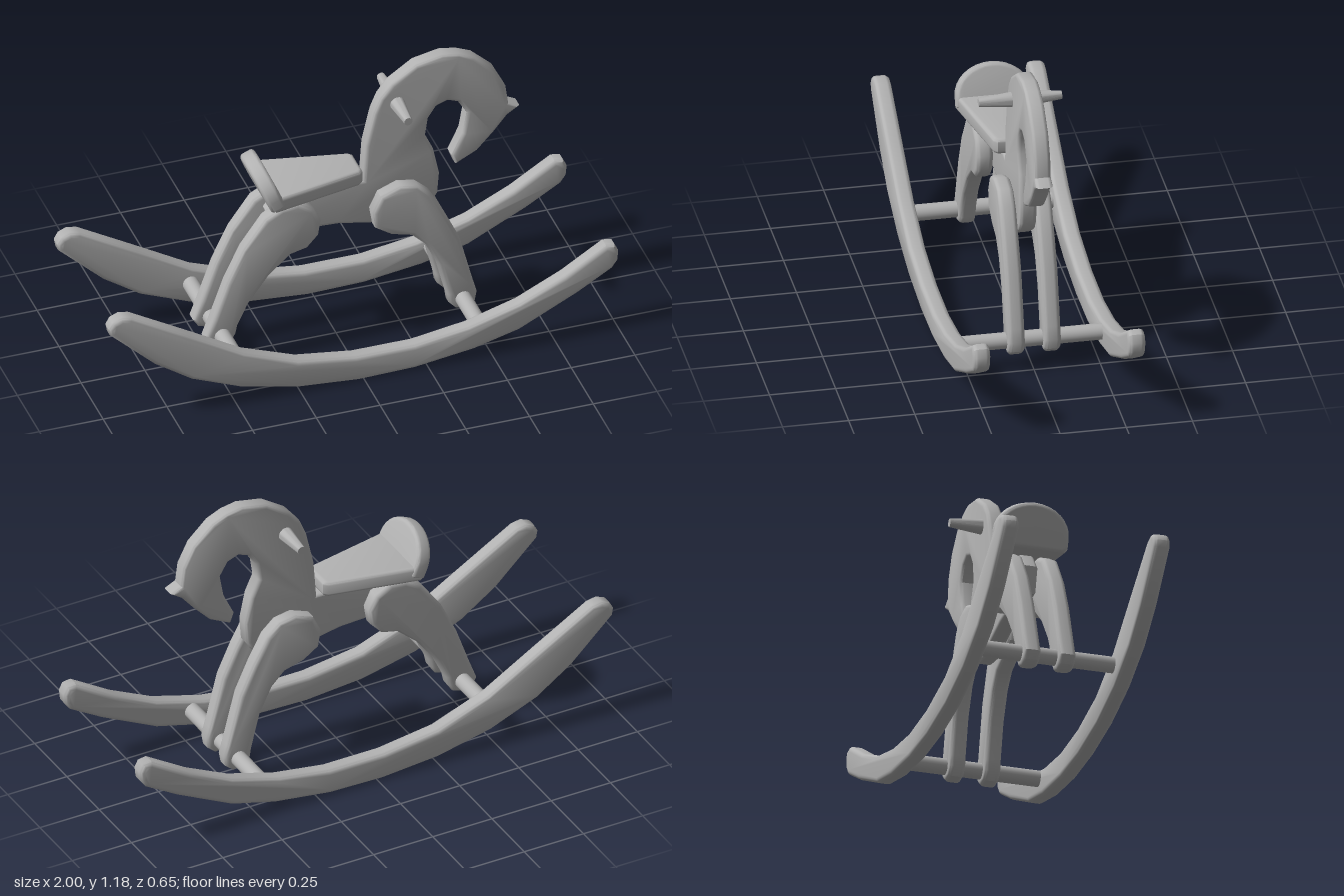
import * as THREE from 'three';
import { toCreasedNormals } from 'three/addons/utils/BufferGeometryUtils.js';

const paint = new THREE.MeshStandardMaterial({ color: 0xb2b2b2 });
paint.name = 'plain grey';

// Flat board with rounded edges, centred on its thickness
function board(points, thickness, bevel = 0.018) {
  const shape = new THREE.Shape(points.map(([x, y]) => new THREE.Vector2(x, y)));
  const geo = new THREE.ExtrudeGeometry(shape, {
    depth: thickness - 2 * bevel, bevelEnabled: true, bevelThickness: bevel,
    bevelSize: bevel, bevelOffset: -bevel, bevelSegments: 4,
  });
  geo.translate(0, 0, -thickness / 2 + bevel);
  return toCreasedNormals(geo, 0.7);
}

const ROCKER = [
  [-0.995, 0.417], [-0.82, 0.25], [-0.675, 0.15], [-0.48, 0.07], [-0.257, 0.02], [-0.02, 0], [0.2, 0.005],
  [0.43, 0.037], [0.61, 0.085], [0.84, 0.2], [0.975, 0.28], [0.996, 0.31], [1, 0.35], [0.985, 0.38], [0.95, 0.385],
  [0.786, 0.283], [0.61, 0.198], [0.41, 0.139], [0.2, 0.107], [-0.03, 0.107], [-0.257, 0.139],
  [-0.47, 0.22], [-0.685, 0.348], [-0.91, 0.48], [-0.95, 0.487], [-0.985, 0.472], [-1, 0.445],
];

const BODY = [
  [-0.25, 0.52], [-0.107, 0.513], [0, 0.508], [0.144, 0.48], [0.22, 0.462], [0.3, 0.475], [0.36, 0.515], [0.39, 0.56],
  [0.397, 0.65], [0.374, 0.76], [0.342, 0.83], [0.353, 0.904], [0.385, 0.952], [0.428, 0.968], [0.47, 0.952],
  [0.503, 0.898], [0.487, 0.807], [0.444, 0.717], [0.46, 0.674], [0.545, 0.717], [0.61, 0.786], [0.663, 0.85],
  [0.711, 0.882], [0.668, 0.904], [0.658, 0.979], [0.615, 1.064], [0.535, 1.139], [0.475, 1.165], [0.41, 1.176],
  [0.305, 1.155], [0.209, 1.09], [0.165, 1.035], [0.139, 0.973], [0.107, 0.834], [0.096, 0.684],
  [-0.23, 0.684], [-0.28, 0.62],
];

const BACK_LEG = [
  [-0.545, 0.15], [-0.525, 0.118], [-0.485, 0.105], [-0.445, 0.118], [-0.425, 0.15], [-0.417, 0.187], [-0.374, 0.278],
  [-0.294, 0.385], [-0.21, 0.46], [-0.144, 0.476], [-0.1, 0.524], [-0.09, 0.588], [-0.118, 0.647], [-0.18, 0.684],
  [-0.246, 0.676], [-0.31, 0.64], [-0.396, 0.52], [-0.46, 0.385], [-0.513, 0.235],
];

const FRONT_LEG = [
  [0.406, 0.14], [0.412, 0.1], [0.44, 0.07], [0.485, 0.065], [0.515, 0.09], [0.522, 0.13], [0.508, 0.18],
  [0.455, 0.385], [0.4, 0.503], [0.342, 0.61], [0.289, 0.658], [0.22, 0.67], [0.144, 0.64], [0.112, 0.572],
  [0.123, 0.503], [0.187, 0.46], [0.267, 0.438], [0.32, 0.385], [0.37, 0.283],
];

export function createModel() {
  const model = new THREE.Group();
  model.name = 'rockingHorse';
  const add = (name, geo, x = 0, y = 0, z = 0) => {
    const mesh = new THREE.Mesh(geo, paint);
    mesh.name = name;
    mesh.position.set(x, y, z);
    model.add(mesh);
    return mesh;
  };

  // Body, neck and head cut from one board
  add('bodyAndHead', board(BODY, 0.065, 0.015));

  // Mirrored rockers and legs
  const rocker = board(ROCKER, 0.065);
  const backLeg = board(BACK_LEG, 0.065);
  const frontLeg = board(FRONT_LEG, 0.065);
  for (const [side, s] of [['front', 1], ['back', -1]]) {
    add(side + 'SideRocker', rocker, 0, 0, 0.293 * s);
    add(side + 'SideHindLeg', backLeg, 0, 0, 0.068 * s);
    add(side + 'SideForeLeg', frontLeg, 0, 0, 0.068 * s);
  }

  // Cross rods joining the rockers
  const rod = new THREE.CylinderGeometry(0.031, 0.031, 0.54, 24).rotateX(Math.PI / 2);
  add('hindRod', rod, -0.48, 0.16);
  add('foreRod', rod, 0.465, 0.116);

  // Handle, thickest in the middle
  const handle = new THREE.LatheGeometry(
    [[0, -0.157], [0.016, -0.157], [0.029, -0.03], [0.029, 0.03], [0.016, 0.157], [0, 0.157]]
      .map(([r, y]) => new THREE.Vector2(r, y)), 24);
  add('handle', toCreasedNormals(handle.rotateX(Math.PI / 2), 0.6), 0.23, 1.002);

  // Tapered seat
  const seat = board([[-0.285, -0.143], [0.07, -0.07], [0.085, -0.055], [0.085, 0.055], [0.07, 0.07], [-0.285, 0.143]],
    0.064, 0.015);
  add('seat', seat.rotateX(-Math.PI / 2), 0, 0.722, 0);

  // Leaning seat back with an arched top
  const arch = [[-0.125, 0], [0.125, 0], [0.143, 0.018]];
  for (let i = 0; i <= 16; i++) {
    const a = (i / 16) * Math.PI;
    arch.push([0.143 * Math.cos(a), 0.055 + 0.118 * Math.sin(a)]);
  }
  arch.push([-0.143, 0.018]);
  const back = add('seatBack', board(arch, 0.06, 0.015).rotateY(Math.PI / 2), -0.265, 0.695);
  back.rotation.z = 0.4;

  return model;
}
